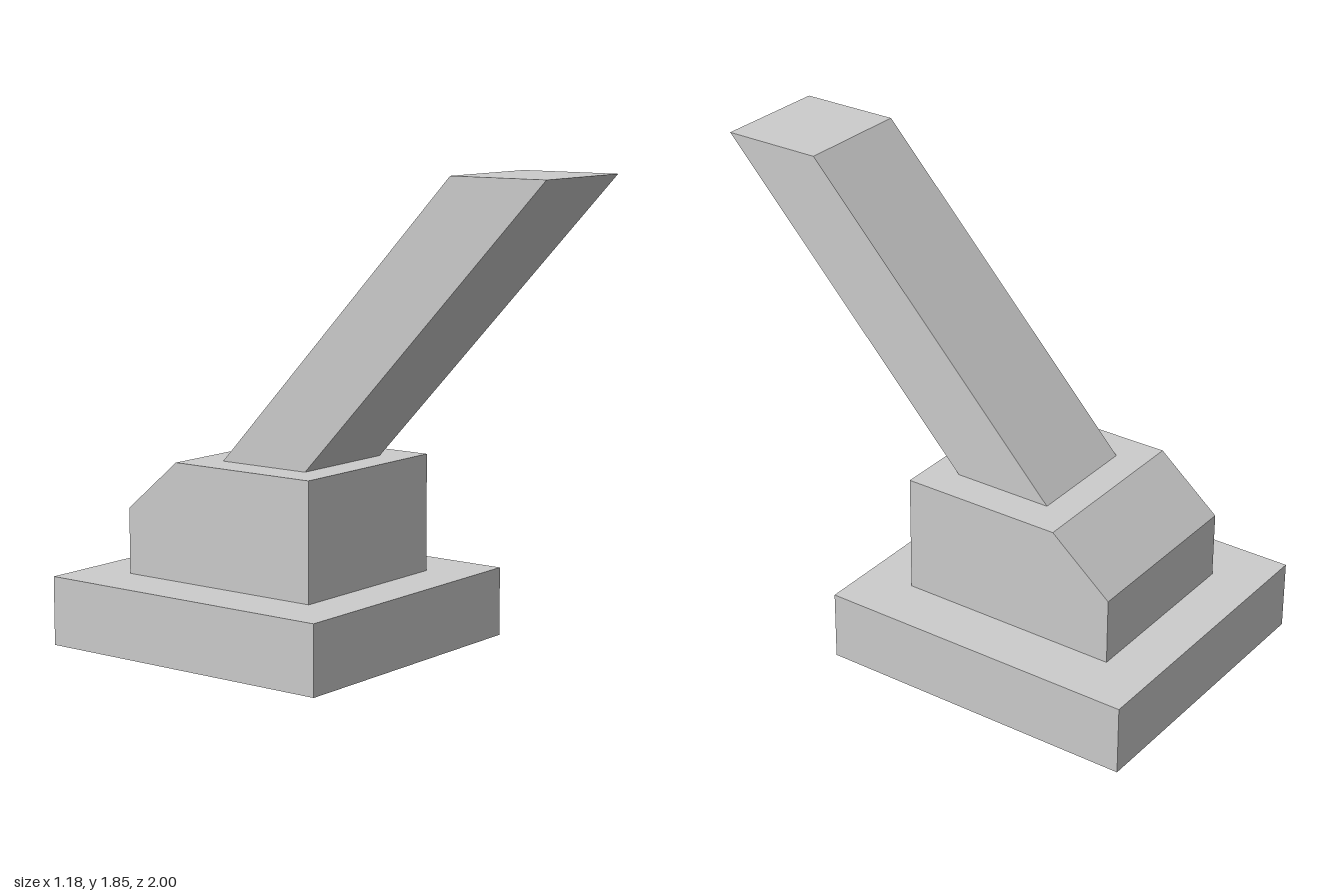
import * as THREE from 'three';

const material = new THREE.MeshStandardMaterial({ color: 0xcccccc, flatShading: true });

// Extrudes a side profile of [z, y] points across x, centred on x = 0.
function sideProfile(name, width, points) {
  const shape = new THREE.Shape(points.map(([z, y]) => new THREE.Vector2(z, y)));
  const geometry = new THREE.ExtrudeGeometry(shape, { depth: width, bevelEnabled: false });
  geometry.translate(0, 0, -width / 2);
  geometry.rotateY(-Math.PI / 2);
  const mesh = new THREE.Mesh(geometry, material);
  mesh.name = name;
  return mesh;
}

export function createModel() {
  const model = new THREE.Group();
  model.name = 'leverOnPedestal';

  // Flat slab on the ground
  const base = new THREE.Mesh(new THREE.BoxGeometry(1.176, 0.27, 1.272), material);
  base.name = 'base';
  base.position.set(0, 0.135, -0.364);
  model.add(base);

  // Block with a sloped upper back edge
  model.add(sideProfile('pedestal', 0.736, [
    [0.076, 0.27], [0.076, 0.73], [-0.563, 0.73], [-0.804, 0.528], [-0.804, 0.27],
  ]));

  // Slanted arm leaning forward, cut level at both ends
  const arm = sideProfile('arm', 0.462, [
    [-0.046, 0.73], [1, 1.845], [0.602, 1.845], [-0.442, 0.73],
  ]);
  arm.position.x = -0.003;
  model.add(arm);

  return model;
}
